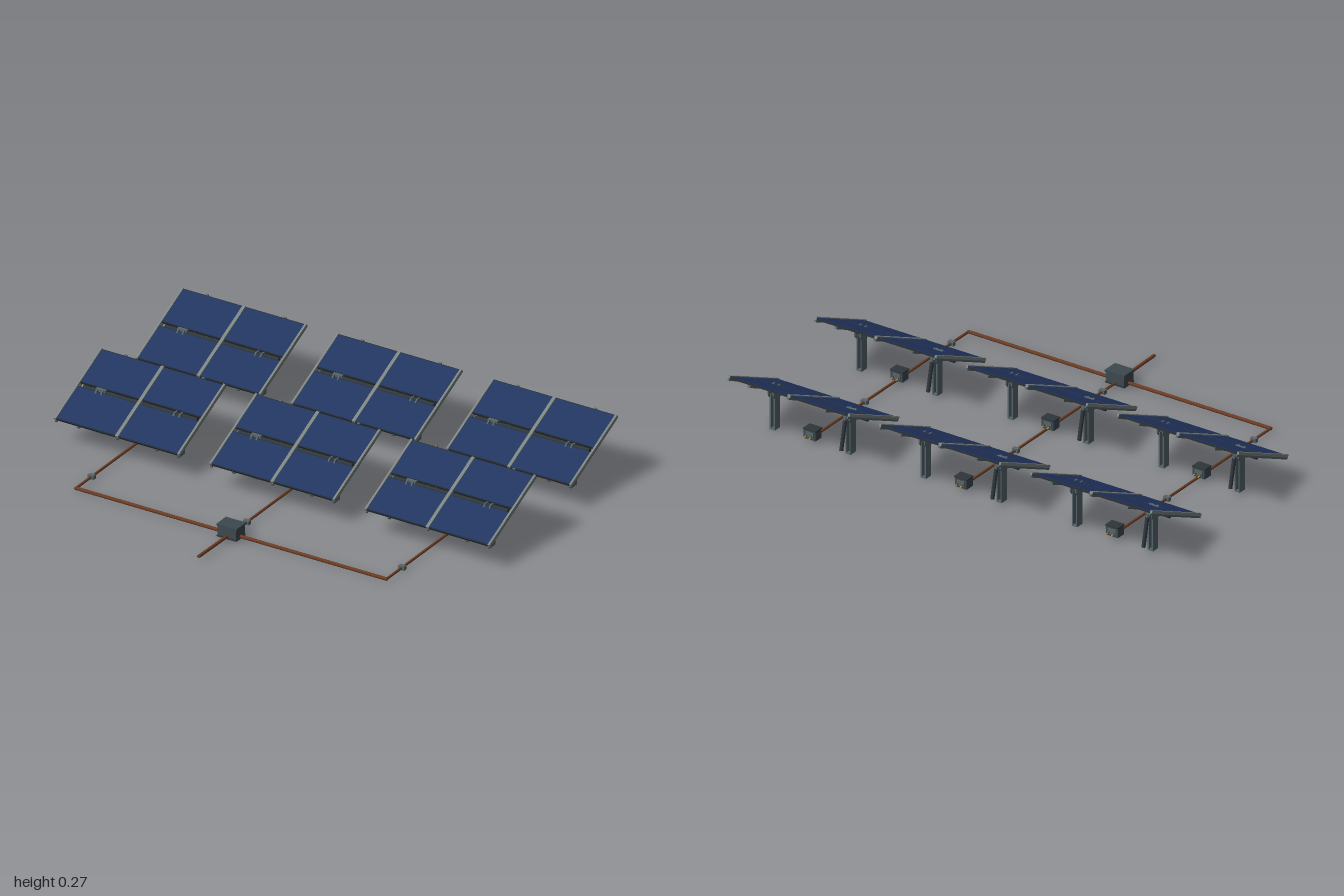
import * as THREE from 'three';

const mat = (color) => new THREE.MeshStandardMaterial({ color });
const M = {
  cell: mat(0x22355f), back: mat(0x262b2f), dark: mat(0x2e363a), steel: mat(0x56656a),
  rail: mat(0x7c8480), box: mat(0x3d494f), copper: mat(0x6b3b22), brass: mat(0xc49a35),
};

function box(parent, name, m, w, h, d, x, y, z) {
  const mesh = new THREE.Mesh(new THREE.BoxGeometry(w, h, d), m);
  mesh.name = name;
  mesh.position.set(x, y, z);
  parent.add(mesh);
  return mesh;
}

// Cylinder running between two points
function rod(parent, name, m, a, b, r, sides = 12) {
  const p = new THREE.Vector3(...a), q = new THREE.Vector3(...b);
  const dir = q.clone().sub(p);
  const mesh = new THREE.Mesh(new THREE.CylinderGeometry(r, r, dir.length(), sides), m);
  mesh.name = name;
  mesh.position.copy(p).add(q).multiplyScalar(0.5);
  mesh.quaternion.setFromUnitVectors(new THREE.Vector3(0, 1, 0), dir.normalize());
  parent.add(mesh);
  return mesh;
}

const PIVOT = 0.171, TILT = THREE.MathUtils.degToRad(25);

// Tilting table: four modules on rails
function panelTable() {
  const g = new THREE.Group();
  g.name = 'panelTable';
  for (const sx of [-1, 1]) {
    for (const sz of [-1, 1]) {
      const x = sx * 0.142, z = sz * 0.097;
      box(g, 'moduleFrame', M.back, 0.276, 0.008, 0.176, x, 0.012, z);
      box(g, 'moduleGlass', M.cell, 0.27, 0.002, 0.168, x, 0.0165, z);
    }
    box(g, 'edgeRail', M.rail, 0.009, 0.012, 0.372, sx * 0.2815, 0.0145, 0);
    box(g, 'supportRail', M.steel, 0.012, 0.009, 0.384, sx * 0.178, 0.004, -0.005);
    box(g, 'edgePurlin', M.steel, 0.008, 0.008, 0.378, sx * 0.279, 0.004, 0);
  }
  box(g, 'centreRail', M.rail, 0.014, 0.012, 0.372, 0, 0.0145, 0);
  box(g, 'centrePurlin', M.steel, 0.01, 0.008, 0.378, 0, 0.004, 0);
  g.position.y = PIVOT;
  g.rotation.x = TILT;
  return g;
}

// Bracket plate with clipped corners that holds the torque tube
function bracketGeometry() {
  const s = new THREE.Shape();
  [[-0.016, -0.034], [0.016, -0.034], [0.028, -0.018], [0.028, 0.008], [0.018, 0.018],
    [-0.018, 0.018], [-0.028, 0.008], [-0.028, -0.018]]
    .forEach(([x, y], i) => (i ? s.lineTo(x, y) : s.moveTo(x, y)));
  const geo = new THREE.ExtrudeGeometry(s, { depth: 0.006, bevelEnabled: false });
  geo.translate(0, 0, -0.003);
  geo.rotateY(Math.PI / 2);
  return geo;
}

// H-section post with bracket plates
function post(bracket) {
  const g = new THREE.Group();
  g.name = 'post';
  for (const s of [-1, 1]) {
    box(g, 'flange', M.steel, 0.006, 0.15, 0.036, s * 0.0095, 0.079, 0);
    const plate = new THREE.Mesh(bracket, M.steel);
    plate.name = 'bracketPlate';
    plate.position.set(s * 0.0125, PIVOT, 0);
    g.add(plate);
  }
  box(g, 'web', M.dark, 0.014, 0.15, 0.008, 0, 0.079, 0);
  box(g, 'footPlate', M.steel, 0.025, 0.006, 0.036, 0, 0.003, 0);
  return g;
}

// Small inverter with cable connectors
function inverter() {
  const g = new THREE.Group();
  g.name = 'inverter';
  box(g, 'housing', M.box, 0.056, 0.042, 0.042, 0, 0.032, 0);
  box(g, 'lid', M.dark, 0.06, 0.005, 0.046, 0, 0.053, 0);
  for (const s of [-1, 1]) {
    box(g, 'cover', M.steel, 0.036, 0.024, 0.003, 0, 0.032, s * 0.022);
    for (const x of [-0.012, 0.012]) {
      rod(g, 'plug', M.dark, [x, 0.026, s * 0.02], [x, 0.026, s * 0.03], 0.003, 8);
      rod(g, 'connector', M.brass, [x, 0.026, s * 0.03], [x, 0.026, s * 0.042], 0.003, 8);
    }
  }
  return g;
}

function tracker(bracket) {
  const g = new THREE.Group();
  g.name = 'tracker';
  g.add(panelTable(), inverter());
  rod(g, 'torqueTube', M.dark, [-0.26, PIVOT, 0], [0.26, PIVOT, 0], 0.012, 16);
  for (const x of [-0.178, 0.178]) {
    const p = post(bracket);
    p.position.x = x;
    g.add(p);
  }
  // Drive and actuator on one post
  box(g, 'driveHousing', M.steel, 0.044, 0.024, 0.022, -0.178, 0.178, 0);
  rod(g, 'actuatorBody', M.dark, [-0.178, 0.155, -0.038], [-0.178, 0.035, -0.064], 0.008);
  rod(g, 'actuatorRod', M.steel, [-0.178, 0.172, -0.034], [-0.178, 0.155, -0.038], 0.005);
  return g;
}

export function createModel() {
  const model = new THREE.Group();
  model.name = 'solarField';
  const bracket = bracketGeometry();
  const trunk = 0.503;

  for (const x of [-0.71, 0, 0.71]) {
    for (const z of [0.032, -0.561]) {
      const t = tracker(bracket);
      t.position.set(x, 0, z);
      model.add(t);
      // Cable coupling ahead of each tracker
      box(model, 'cableCoupling', M.steel, 0.026, 0.018, 0.018, x, 0.014, z + 0.356);
    }
    rod(model, 'columnCable', M.copper, [x, 0.014, trunk], [x, 0.014, -0.561], 0.0055);
    const elbow = new THREE.Mesh(new THREE.SphereGeometry(0.007, 12, 8), M.copper);
    elbow.name = 'cableElbow';
    elbow.position.set(x, 0.014, trunk);
    model.add(elbow);
  }

  // Trunk cable, combiner box and outgoing cable
  rod(model, 'trunkCable', M.copper, [-0.71, 0.014, trunk], [0.71, 0.014, trunk], 0.007);
  rod(model, 'outgoingCable', M.copper, [0, 0.015, trunk], [0, 0.019, 0.74], 0.007);
  const c = new THREE.Group();
  c.name = 'combinerBox';
  box(c, 'housing', M.box, 0.086, 0.048, 0.064, 0, 0.031, trunk);
  box(c, 'lid', M.box, 0.092, 0.008, 0.07, 0, 0.056, trunk);
  box(c, 'base', M.dark, 0.09, 0.006, 0.068, 0, 0.008, trunk);
  model.add(c);
  return model;
}
